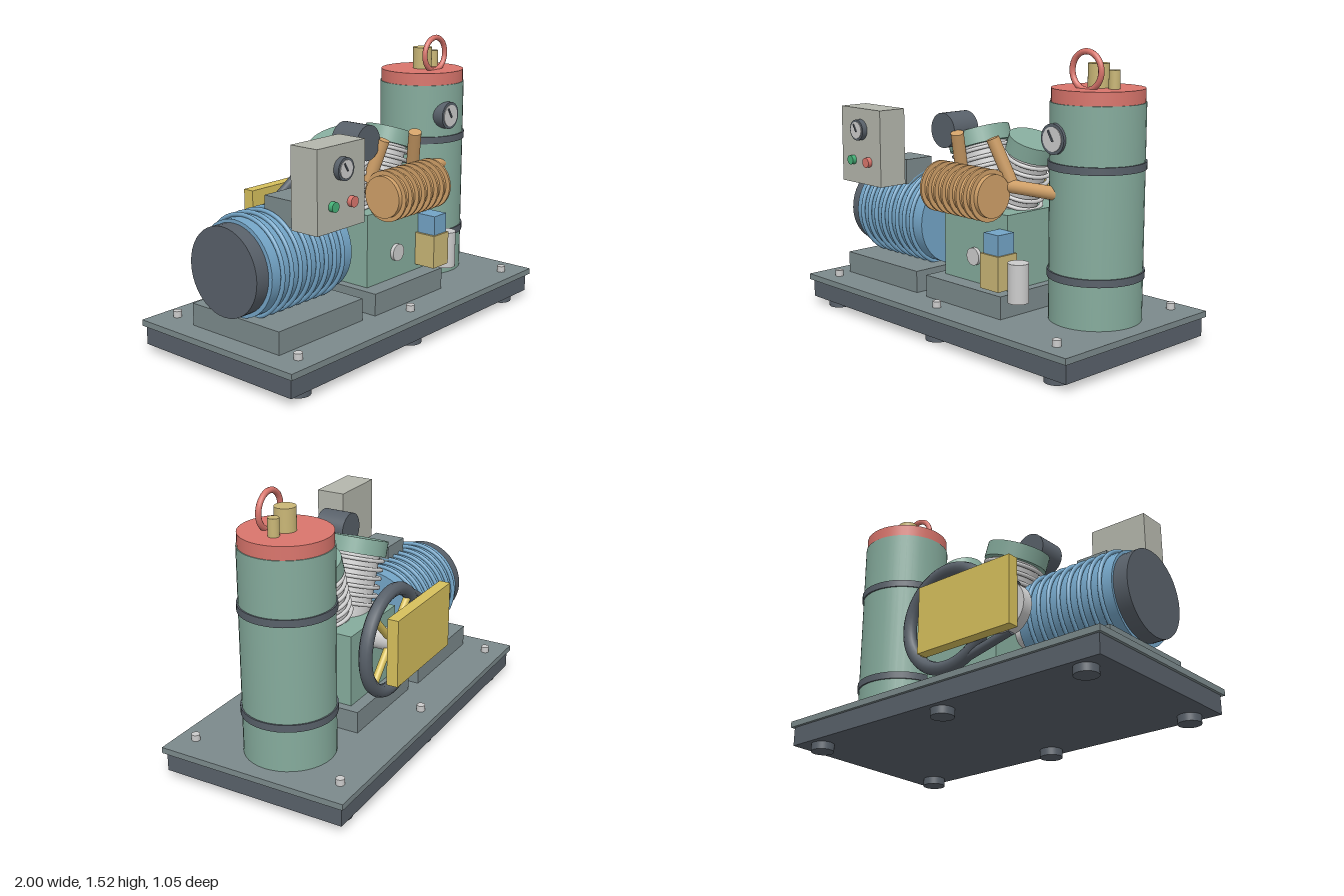
import * as THREE from 'three';

const C = {
  base: 0x7b898b, dark: 0x586069, blue: 0x73a4c6, green: 0x85ab9c, red: 0xd9756c,
  copper: 0xd0a068, yellow: 0xd6bf5c, brass: 0xc9b676, silver: 0xcccccc, panel: 0xb4b6ac, lamp: 0x45b077,
};
const materials = {};
const mat = (c) => (materials[c] ??= new THREE.MeshStandardMaterial({ color: C[c] }));
const V = (x, y, z) => new THREE.Vector3(x, y, z);

export function createModel() {
  const model = new THREE.Group();

  const add = (name, geometry, color, x = 0, y = 0, z = 0, parent = model) => {
    const m = new THREE.Mesh(geometry, mat(color));
    m.name = name;
    m.position.set(x, y, z);
    parent.add(m);
    return m;
  };
  // Box given by its limits on each axis
  const box = (name, color, [x0, x1], [y0, y1], [z0, z1]) =>
    add(name, new THREE.BoxGeometry(x1 - x0, y1 - y0, z1 - z0), color, (x0 + x1) / 2, (y0 + y1) / 2, (z0 + z1) / 2);
  // Round bar between two points
  const rod = (name, color, a, b, r, parent = model) => {
    const d = b.clone().sub(a);
    const m = add(name, new THREE.CylinderGeometry(r, r, d.length(), 40), color, 0, 0, 0, parent);
    m.position.copy(a).lerp(b, 0.5);
    m.quaternion.setFromUnitVectors(V(0, 1, 0), d.normalize());
    return m;
  };
  // Ring whose axis is x, y or z
  const ring = (name, color, axis, R, r, x, y, z, parent = model) => {
    const m = add(name, new THREE.TorusGeometry(R, r, 10, 48), color, x, y, z, parent);
    if (axis === 'x') m.rotation.y = Math.PI / 2;
    if (axis === 'y') m.rotation.x = Math.PI / 2;
    return m;
  };
  // Dial facing the front, with rim, face and needle
  const gauge = (name, x, y, z0, z1, r) => {
    const g = new THREE.Group();
    g.name = name;
    model.add(g);
    rod('gaugeRim', 'dark', V(x, y, z0), V(x, y, z1), r, g);
    rod('gaugeFace', 'silver', V(x, y, z1 - 0.01), V(x, y, z1 + 0.004), r * 0.8, g);
    const n = add('gaugeNeedle', new THREE.BoxGeometry(r * 0.13, r * 0.8, 0.008), 'dark', x - r * 0.12, y + r * 0.2, z1 + 0.005, g);
    n.rotation.z = 0.55;
  };

  // Base skid with feet and bolts
  box('baseBlock', 'dark', [-0.985, 0.985], [0.04, 0.14], [-0.51, 0.505]);
  box('basePlate', 'base', [-1, 1], [0.14, 0.172], [-0.525, 0.525]);
  for (const x of [-0.85, 0, 0.85]) for (const z of [-0.425, 0.425]) {
    rod('foot', 'dark', V(x, 0, z), V(x, 0.045, z), 0.06);
    rod('bolt', 'silver', V(x, 0.17, z), V(x, 0.205, z), 0.022);
  }

  // Electric motor, axis along x
  const my = 0.53, mz = 0.03;
  box('motorMount', 'base', [-0.88, -0.275], [0.17, 0.29], [-0.27, 0.33]);
  rod('motorBody', 'blue', V(-0.862, my, mz), V(-0.295, my, mz), 0.245);
  for (let i = 0; i < 8; i++) ring('motorFin', 'blue', 'x', 0.255, 0.011, -0.8 + i * 0.061, my, mz);
  rod('motorFanCover', 'dark', V(-0.94, my, mz - 0.005), V(-0.86, my, mz - 0.005), 0.227);
  rod('motorShaft', 'silver', V(-0.3, my, mz), V(-0.13, my, mz), 0.066);
  box('junctionBox', 'base', [-0.67, -0.485], [0.725, 0.86], [0.04, 0.22]);

  // Control panel
  box('controlBox', 'panel', [-0.745, -0.41], [0.745, 1.155], [0.29, 0.455]);
  gauge('controlGauge', -0.577, 1.04, 0.45, 0.485, 0.056);
  rod('startButton', 'lamp', V(-0.645, 0.87, 0.45), V(-0.645, 0.87, 0.48), 0.025);
  rod('stopButton', 'red', V(-0.51, 0.87, 0.45), V(-0.51, 0.87, 0.48), 0.027);

  // Crankcase
  box('crankcaseMount', 'base', [-0.185, 0.385], [0.17, 0.29], [-0.255, 0.34]);
  box('crankcase', 'green', [-0.137, 0.337], [0.29, 0.68], [-0.19, 0.245]);
  rod('sightGlass', 'silver', V(0.1, 0.43, 0.24), V(0.1, 0.43, 0.265), 0.046);

  // Finned cylinders in a V
  for (const [name, tilt, r] of [['largeCylinder', 1, 0.17], ['smallCylinder', -1, 0.133]]) {
    const g = new THREE.Group();
    g.name = name;
    g.position.set(0.1, 0.46, 0.03);
    g.rotation.z = tilt * 0.35;
    model.add(g);
    rod('barrel', 'silver', V(0, 0.1, 0), V(0, 0.54, 0), r * 0.8, g);
    for (let i = 0; i < 6; i++) ring('barrelFin', 'silver', 'y', r * 0.92, 0.011, 0, 0.275 + i * 0.047, 0, g);
    rod('cylinderHead', 'green', V(0, 0.535, 0), V(0, 0.618, 0), r, g);
  }
  rod('airFilter', 'dark', V(-0.14, 1.06, 0.085), V(-0.14, 1.06, 0.252), 0.092);

  // Intercooler and copper piping
  const iy = 0.785, iz = 0.322;
  rod('intercooler', 'copper', V(-0.115, iy, iz), V(0.32, iy, iz), 0.11);
  for (let i = 0; i < 8; i++) {
    const x = -0.083 + i * 0.053;
    rod('intercoolerFin', 'copper', V(x - 0.006, iy, iz), V(x + 0.006, iy, iz), 0.133);
  }
  rod('largeCylinderPipe', 'copper', V(-0.06, 0.84, 0.19), V(-0.025, 1.06, 0.255), 0.034);
  rod('smallCylinderPipe', 'copper', V(0.305, 0.84, 0.19), V(0.24, 1.06, 0.255), 0.034);
  rod('tankPipe', 'copper', V(0.25, 0.82, 0.205), V(0.66, 0.815, 0.15), 0.034);

  // Flywheel, pulley and belt at the back
  const wheel = new THREE.Vector2(0.1, 0.595), pulley = new THREE.Vector2(-0.29, 0.53), wz = -0.292;
  ring('flywheelRim', 'dark', 'z', 0.272, 0.036, wheel.x, wheel.y, wz);
  rod('flywheelHub', 'silver', V(wheel.x, wheel.y, -0.18), V(wheel.x, wheel.y, -0.335), 0.06);
  for (const s of [-1, 1])
    rod('flywheelSpoke', 'yellow', V(wheel.x - 0.19, wheel.y - s * 0.19, wz), V(wheel.x + 0.19, wheel.y + s * 0.19, wz), 0.02);
  rod('pulley', 'silver', V(pulley.x, pulley.y, -0.262), V(pulley.x, pulley.y, -0.324), 0.135);
  const axis = wheel.clone().sub(pulley);
  const turn = Math.acos((0.14 - 0.29) / axis.length());
  for (const s of [-1, 1]) {
    const a = axis.angle() + s * turn;
    const at = (c, r) => V(c.x + r * Math.cos(a), c.y + r * Math.sin(a), wz);
    rod('driveBelt', 'dark', at(pulley, 0.125), at(wheel, 0.275), 0.024);
  }
  box('beltGuard', 'yellow', [-0.39, 0.215], [0.393, 0.763], [-0.393, -0.33]);

  // Valve, solenoid and drain bottle
  box('valveBody', 'brass', [0.27, 0.4], [0.32, 0.5], [0.24, 0.37]);
  box('solenoid', 'blue', [0.285, 0.39], [0.5, 0.605], [0.25, 0.36]);
  rod('drainBottle', 'silver', V(0.472, 0.275, 0.302), V(0.472, 0.475, 0.302), 0.053);

  // Upright air tank
  const tx = 0.677, tz = -0.035;
  rod('tank', 'green', V(tx, 0.17, tz), V(tx, 1.258, tz), 0.235);
  rod('tankLid', 'red', V(tx, 1.255, tz), V(tx, 1.325, tz), 0.23);
  for (const y of [0.41, 0.953]) rod('tankBand', 'dark', V(tx, y - 0.019, tz), V(tx, y + 0.019, tz), 0.243);
  rod('safetyValve', 'brass', V(tx, 1.32, tz), V(tx, 1.443, tz), 0.053);
  rod('reliefValve', 'brass', V(0.777, 1.32, tz), V(0.777, 1.415, tz), 0.028);
  ring('liftingRing', 'red', 'z', 0.092, 0.015, tx, 1.41, 0.052);
  gauge('tankGauge', 0.61, 1.09, 0.12, 0.215, 0.075);

  return model;
}
